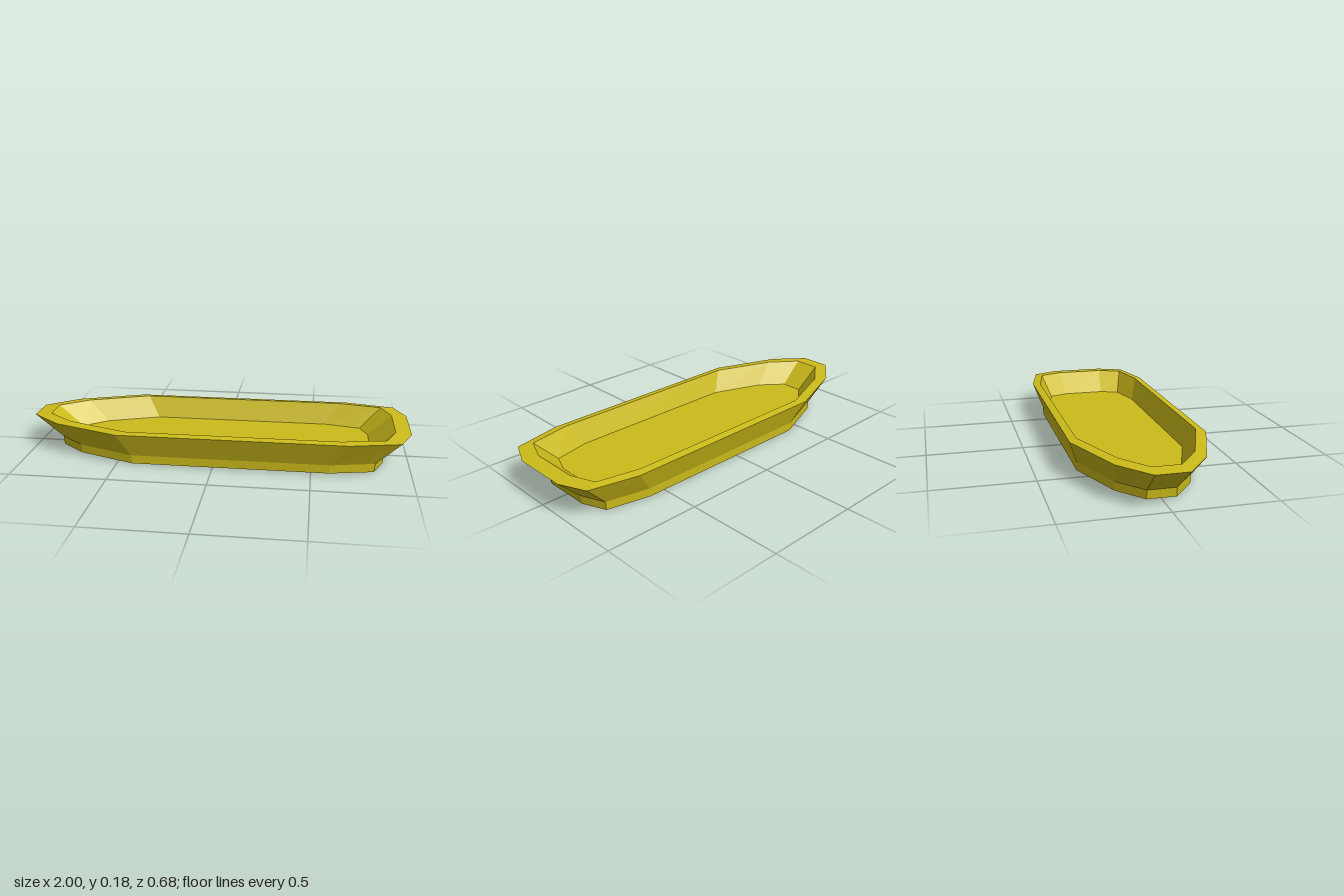
import * as THREE from 'three';

// Mirrors half an outline of [x, z] points across z and lifts it to height y.
function ring(half, y, s = 1) {
  const side = half.map(([x, z]) => [x * s, y, z * s]);
  return [...side, ...side.map(([x, yy, z]) => [x, yy, -z]).reverse()];
}

// Quads between successive rings, listed from the outside bottom to the inside.
function loft(rings) {
  const pos = [];
  for (let r = 0; r < rings.length - 1; r++) {
    const lo = rings[r], hi = rings[r + 1], n = lo.length;
    for (let i = 0; i < n; i++) {
      const j = (i + 1) % n;
      pos.push(...lo[i], ...lo[j], ...hi[j], ...lo[i], ...hi[j], ...hi[i]);
    }
  }
  return pos;
}

// Flat fan closing a ring, facing up or down.
function cap(loop, up) {
  const pos = [], c = [0, loop[0][1], 0];
  loop.forEach((p, i) => {
    const q = loop[(i + 1) % loop.length];
    pos.push(...(up ? [...p, ...q, ...c] : [...q, ...p, ...c]));
  });
  return pos;
}

export function createModel() {
  const group = new THREE.Group();
  group.name = 'tray';
  const material = new THREE.MeshStandardMaterial({ color: 0xccbb1a, flatShading: true });

  const add = (name, pos) => {
    const g = new THREE.BufferGeometry();
    g.setAttribute('position', new THREE.Float32BufferAttribute(pos, 3));
    g.computeVertexNormals();
    const mesh = new THREE.Mesh(g, material);
    mesh.name = name;
    group.add(mesh);
  };

  // Half outlines from the narrow end to the broad end
  const baseHalf = [[-0.855, 0.07], [-0.72, 0.182], [-0.42, 0.296], [0.595, 0.296], [0.82, 0.248], [0.87, 0.125]];
  const rimHalf = [[-1, 0.08], [-0.84, 0.21], [-0.49, 0.34], [0.685, 0.34], [0.94, 0.283], [1, 0.145]];
  const lipHalf = [[-0.915, 0.068], [-0.77, 0.18], [-0.45, 0.3], [0.645, 0.3], [0.87, 0.255], [0.92, 0.13]];
  const floorHalf = [[-0.78, 0.058], [-0.66, 0.155], [-0.385, 0.257], [0.57, 0.257], [0.76, 0.215], [0.8, 0.115]];

  const bottom = ring(baseHalf, 0, 0.95);
  const foot = ring(baseHalf, 0.005, 0.995);
  const shoulder = ring(baseHalf, 0.05);
  const rim = ring(rimHalf, 0.174);
  const lip = ring(lipHalf, 0.18);
  const floor = ring(floorHalf, 0.068);

  add('underside', cap(bottom, false));
  add('foot', loft([bottom, foot, shoulder]));
  add('flaredWall', loft([shoulder, rim]));
  add('rim', loft([rim, lip]));
  add('innerWall', loft([lip, floor]));
  add('floor', cap(floor, true));
  return group;
}
